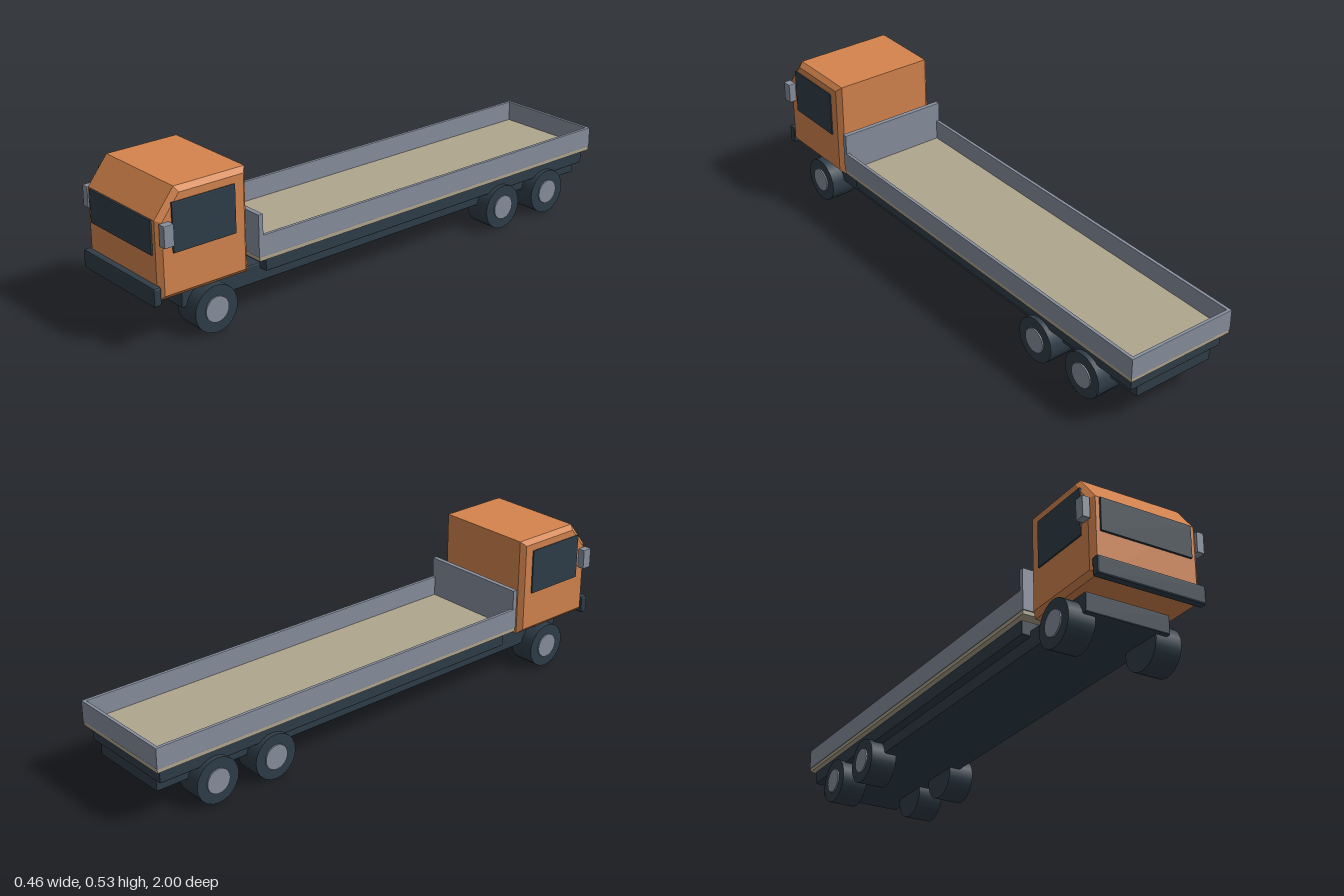
import * as THREE from 'three';
import { RoundedBoxGeometry } from 'three/addons/geometries/RoundedBoxGeometry.js';

const paint = (name, color) => {
  const m = new THREE.MeshStandardMaterial({ color });
  m.name = name;
  return m;
};

export function createModel() {
  const orange = paint('cab orange', 0xd4844d);
  const dark = paint('dark slate', 0x2f3d48);
  const grey = paint('metal grey', 0x878f9e);
  const tan = paint('deck tan', 0xb0a68e);

  const truck = new THREE.Group();
  truck.name = 'flatbedTruck';

  const add = (name, geometry, material) => {
    const mesh = new THREE.Mesh(geometry, material);
    mesh.name = name;
    truck.add(mesh);
    return mesh;
  };

  // Box given by its limits, with optional chamfered edges
  const box = (name, material, [x0, x1], [y0, y1], [z0, z1], chamfer = 0) => {
    const size = [x1 - x0, y1 - y0, z1 - z0];
    const g = chamfer ? new RoundedBoxGeometry(...size, 1, chamfer) : new THREE.BoxGeometry(...size);
    if (chamfer) g.computeVertexNormals(); // flat chamfers
    g.translate((x0 + x1) / 2, (y0 + y1) / 2, (z0 + z1) / 2);
    return add(name, g, material);
  };

  // Cab: side profile (z, y) extruded across the width with a chamfer
  const bevel = 0.017, cabWidth = 0.408;
  const profile = new THREE.Shape([
    [0.628, 0.165], [0.976, 0.165], [0.976, 0.437], [0.9, 0.532], [0.628, 0.532],
  ].map(([z, y]) => new THREE.Vector2(z, y)));
  const cab = new THREE.ExtrudeGeometry(profile, {
    depth: cabWidth - 2 * bevel, bevelEnabled: true, bevelSegments: 1,
    bevelSize: bevel, bevelThickness: bevel, bevelOffset: -bevel,
  });
  cab.translate(0, 0, bevel - cabWidth / 2);
  cab.rotateY(-Math.PI / 2);
  add('cab', cab, orange);

  box('windshield', dark, [-0.173, 0.173], [0.317, 0.436], [0.974, 0.983], 0.003);
  box('bumper', dark, [-0.204, 0.204], [0.153, 0.22], [0.97, 1], 0.008);

  // Chassis and the wider subframe under the deck
  box('chassis', dark, [-0.16, 0.16], [0.095, 0.165], [-0.972, 0.868], 0.006);
  box('subframe', dark, [-0.194, 0.194], [0.142, 0.195], [-0.98, 0.555], 0.006);

  // Deck with low walls and a taller headboard
  const w = 0.213, t = 0.013;
  box('deck', tan, [-w + 0.002, w - 0.002], [0.195, 0.211], [-0.998, 0.593]);
  box('headboard', grey, [-w, w], [0.209, 0.36], [0.577, 0.596], 0.002);
  box('tailboard', grey, [-w, w], [0.209, 0.285], [-1, -1 + t], 0.002);

  for (const [side, s] of [['left', 1], ['right', -1]]) {
    const span = (a, b) => (s > 0 ? [a, b] : [-b, -a]);
    box(side + 'DeckWall', grey, span(w - t, w), [0.209, 0.285], [-0.999, 0.595], 0.002);
    box(side + 'Window', dark, span(0.2, 0.209), [0.319, 0.489], [0.68, 0.923], 0.003);
    box(side + 'Mirror', grey, span(0.203, 0.232), [0.355, 0.43], [0.933, 0.971], 0.003);

    // Wheels: one front axle, two rear axles
    for (const [axle, z] of [['Front', 0.77], ['Middle', -0.533], ['Rear', -0.77]]) {
      const wheel = (name, material, radius, x0, x1) => {
        const g = new THREE.CylinderGeometry(radius, radius, x1 - x0, 24);
        g.rotateZ(Math.PI / 2);
        g.translate(s * (x0 + x1) / 2, 0.083, z);
        add(side + axle + name, g, material);
      };
      wheel('Tyre', dark, 0.083, 0.114, 0.212);
      wheel('Hub', grey, 0.045, 0.2, 0.217);
    }
  }
  return truck;
}
